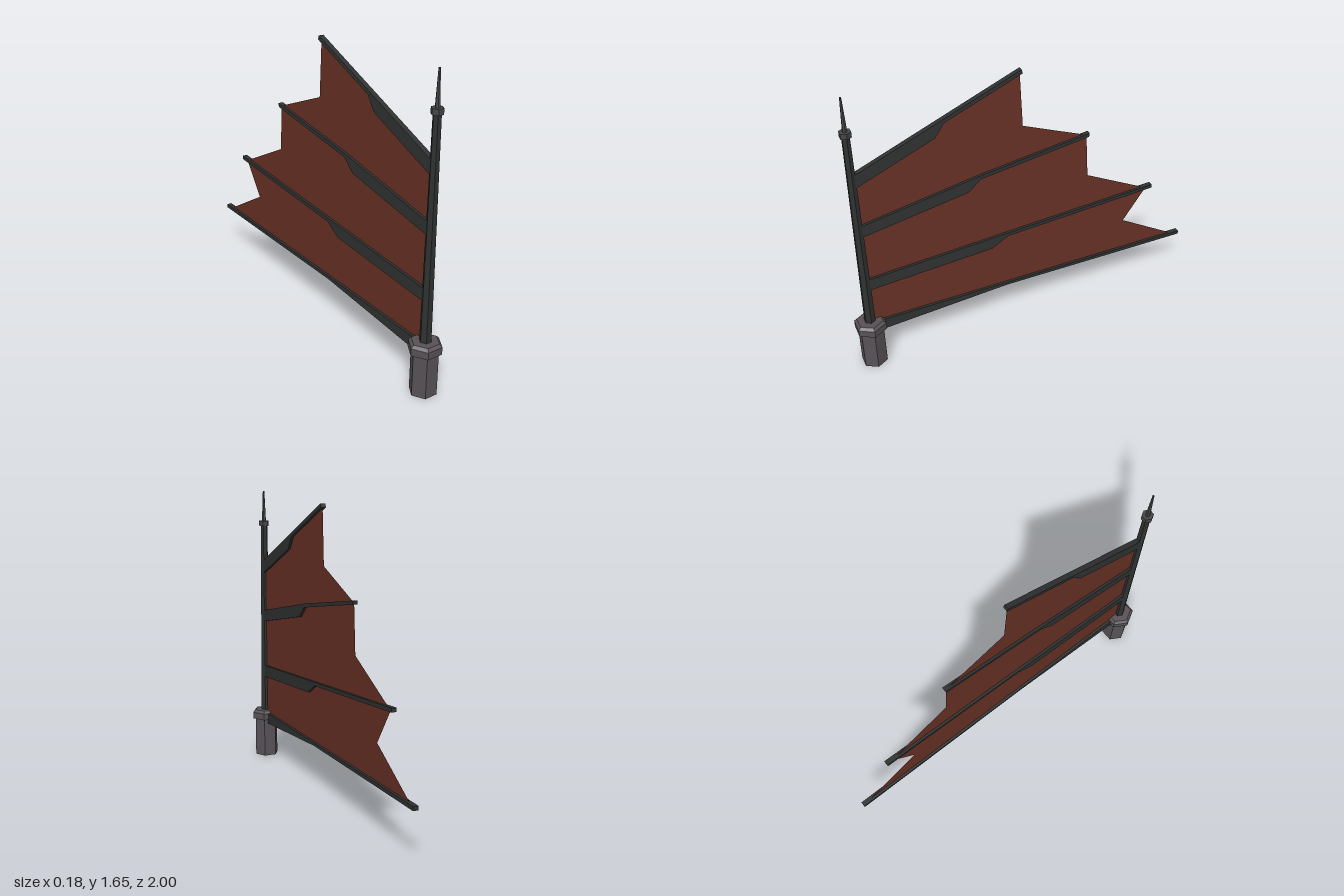
import * as THREE from 'three';

const mat = (name, color, extra = {}) =>
  new THREE.MeshStandardMaterial({ name, color, flatShading: true, ...extra });

export function createModel() {
  const model = new THREE.Group();
  model.name = 'battenedSail';
  const darkWood = mat('darkWood', 0x303232);
  const greyIron = mat('greyIron', 0x585256);
  const dullIron = mat('dullIron', 0x454647);
  const redCloth = mat('redCloth', 0x683125, { side: THREE.DoubleSide });
  const mastZ = 0.92;

  const add = (name, geometry, material) => {
    const mesh = new THREE.Mesh(geometry, material);
    mesh.name = name;
    model.add(mesh);
    return mesh;
  };

  // Six-sided mast sections, corners pointing along x
  const hex = (name, rBottom, rTop, y0, y1, material) => {
    const g = new THREE.CylinderGeometry(rTop, rBottom, y1 - y0, 6);
    g.rotateY(Math.PI / 6);
    g.translate(0, (y0 + y1) / 2, mastZ);
    return add(name, g, material);
  };
  hex('mastSocket', 0.072, 0.072, 0, 0.24, greyIron);
  hex('socketCollar', 0.088, 0.088, 0.235, 0.275, greyIron);
  hex('socketCap', 0.088, 0.072, 0.275, 0.29, greyIron);
  hex('mast', 0.031, 0.021, 0.28, 1.45, darkWood);
  hex('mastCollar', 0.031, 0.031, 1.445, 1.475, dullIron);
  hex('mastSpike', 0.013, 0.005, 1.47, 1.655, dullIron);

  // Side outlines are [z, y] pairs
  const outline = (pts) => new THREE.Shape(pts.map(([z, y]) => new THREE.Vector2(z, y)));

  // Battens: deep near the mast, stepping down to a slim tip
  const battens = [
    [[0.92, 1.225], [0.03, 1.608], [0.024, 1.587], [0.442, 1.408], [0.49, 1.335], [0.92, 1.15]],
    [[0.92, 0.921], [0.26, 1.05], [-0.362, 1.146], [-0.358, 1.125], [0.26, 1.028], [0.33, 0.965], [0.92, 0.852]],
    [[0.92, 0.573], [-0.78, 0.697], [-0.78, 0.676], [0.115, 0.611], [0.206, 0.555], [0.92, 0.503]],
    [[0.92, 0.275], [-1, 0.292], [-1, 0.271], [0.126, 0.265], [0.92, 0.205]],
  ];
  const width = 0.028;
  battens.forEach((pts, i) => {
    const g = new THREE.ExtrudeGeometry(outline(pts), { depth: width, bevelEnabled: false });
    g.translate(0, 0, -width / 2);
    g.rotateY(-Math.PI / 2);
    add('batten' + (i + 1), g, darkWood);
  });

  // Cloth with a notched trailing edge
  const cloth = new THREE.ShapeGeometry(outline([
    [0.92, 1.19], [0.035, 1.595], [0.019, 1.28], [-0.35, 1.132], [-0.367, 0.869],
    [-0.72, 0.69], [-0.75, 0.68], [-0.614, 0.483], [-0.946, 0.288], [0.92, 0.25],
  ]));
  cloth.rotateY(-Math.PI / 2);
  add('sailCloth', cloth, redCloth);

  return model;
}
